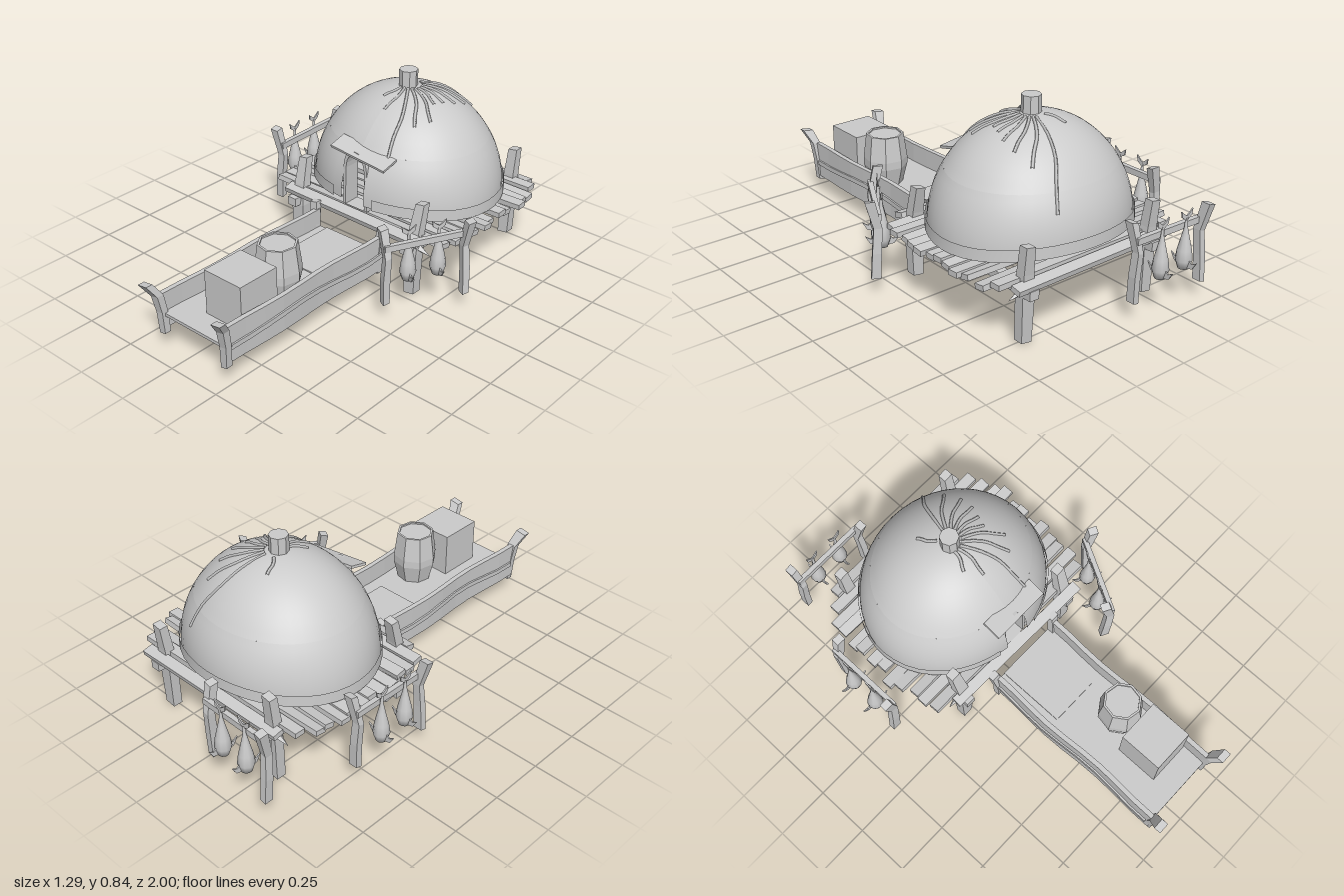
import * as THREE from 'three';

const flat = new THREE.MeshStandardMaterial({ color: 0xcccccc, flatShading: true, side: THREE.DoubleSide });
const smooth = new THREE.MeshStandardMaterial({ color: 0xcccccc, side: THREE.DoubleSide });

// Small seeded generator, returns -1..1
let seed = 7;
const rnd = () => { seed = (seed * 16807) % 2147483647; return (seed / 2147483647) * 2 - 1; };

function add(parent, name, geo, mat = flat, x = 0, y = 0, z = 0) {
  const m = new THREE.Mesh(geo, mat);
  m.name = name;
  m.position.set(x, y, z);
  parent.add(m);
  return m;
}

// Crooked upright timber: pts are [x, y, z, width, depth] from bottom to top
function timber(parent, name, pts) {
  const n = pts.length - 1;
  const g = new THREE.BoxGeometry(1, 1, 1, 1, n, 1);
  const p = g.attributes.position;
  for (let i = 0; i < p.count; i++) {
    const q = pts[Math.round((p.getY(i) + 0.5) * n)];
    p.setXYZ(i, q[0] + p.getX(i) * q[3], q[1] + p.getX(i) * 0.008, q[2] + p.getZ(i) * q[4]);
  }
  g.computeVertexNormals();
  return add(parent, name, g);
}

// Board running along z whose course wanders slightly
function wavyBoard(parent, name, x, y, z0, z1, w, h, ampX, ampY) {
  const g = new THREE.BoxGeometry(w, h, z1 - z0, 1, 1, 9);
  const p = g.attributes.position;
  for (let i = 0; i < p.count; i++) {
    const z = p.getZ(i);
    p.setX(i, p.getX(i) + ampX * Math.sin(z * 11));
    p.setY(i, p.getY(i) + ampY * Math.sin(z * 9 + 1));
  }
  g.computeVertexNormals();
  return add(parent, name, g, flat, x, y, (z0 + z1) / 2);
}

// Dome dimensions
const C = { x: 0.045, z: -0.42, y: 0.3, rx: 0.443, ry: 0.465, rz: 0.393 };

function domePoint(a, t, k = 1) {
  const s = Math.sin(t), c = Math.cos(t);
  const sag = 0.035 * Math.cos(a) ** 2 * s ** 8;
  return new THREE.Vector3(C.x + C.rx * k * s * Math.sin(a), C.y + C.ry * k * c + sag, C.z + C.rz * k * s * Math.cos(a));
}

// Patch of the dome between angles a (around, 0 = front) and t (down from the top)
function domePatch(a0, a1, t0, t1, na, nt, k = 1) {
  const g = new THREE.PlaneGeometry(1, 1, na, nt);
  const p = g.attributes.position;
  for (let i = 0; i < p.count; i++) {
    const v = domePoint(a0 + (p.getX(i) + 0.5) * (a1 - a0), t0 + (0.5 - p.getY(i)) * (t1 - t0), k);
    p.setXYZ(i, v.x, v.y, v.z);
  }
  g.computeVertexNormals();
  return g;
}

function buildDome() {
  const g = new THREE.Group();
  g.name = 'domeHut';
  const gap = 0.14, lintel = 0.99, TAU = Math.PI * 2;
  add(g, 'domeTop', domePatch(0, TAU, 0.001, lintel, 48, 12), smooth);
  add(g, 'domeWall', domePatch(gap, TAU - gap, lintel, Math.PI / 2, 46, 8), smooth);
  add(g, 'hem', domePatch(gap + 0.1, TAU - gap - 0.1, 1.47, 1.58, 40, 1, 1.02), smooth);

  // Seams running down from the smoke pipe: [angle, end]
  const seams = [[0.42, 1.0], [0.75, 0.65], [1.05, 0.6], [1.35, 0.4], [1.65, 0.42],
    [1.95, 0.5], [2.25, 0.6], [2.55, 0.75], [2.8, 1.2], [0.1, 0.5], [-0.25, 0.35], [-2.6, 0.35]];
  for (const [a, end] of seams) {
    const pts = [0, 0.25, 0.5, 0.75, 1].map(s =>
      domePoint(a + 0.06 * Math.sin(s * 5), 0.12 + s * (end - 0.12), 1.002));
    add(g, 'seam', new THREE.TubeGeometry(new THREE.CatmullRomCurve3(pts), 12, 0.007, 4), smooth);
  }

  add(g, 'smokePipe', new THREE.CylinderGeometry(0.042, 0.042, 0.1, 8), flat, 0.042, 0.788, -0.41);

  // Arched door lining
  const arch = (w, h) => {
    const s = new THREE.Shape();
    s.moveTo(-w, 0); s.lineTo(w, 0); s.lineTo(w * 0.95, h * 0.7);
    s.quadraticCurveTo(w * 0.85, h, 0, h);
    s.quadraticCurveTo(-w * 0.85, h, -w * 0.95, h * 0.7);
    s.closePath();
    return s;
  };
  const outer = arch(0.068, 0.27);
  outer.holes.push(arch(0.054, 0.255));
  add(g, 'doorLining', new THREE.ExtrudeGeometry(outer, { depth: 0.08, bevelEnabled: false, curveSegments: 6 }), flat, C.x, 0.298, -0.13);

  // Crooked awning over the door
  const awning = add(g, 'awning', new THREE.BoxGeometry(0.29, 0.012, 0.09), flat, 0.07, 0.562, -0.075);
  awning.rotation.set(0.25, 0, -0.12);
  return g;
}

function buildPlatform() {
  const g = new THREE.Group();
  g.name = 'platform';
  // Cross planks, longer towards the middle
  const n = 14;
  for (let i = 0; i < n; i++) {
    const z = -0.8 + i * 0.77 / (n - 1);
    const half = 0.39 + 0.12 * Math.sqrt(Math.max(0, 1 - ((z + 0.42) / 0.39) ** 2));
    const m = add(g, 'plank', new THREE.BoxGeometry((half + rnd() * 0.02) * 2, 0.024, 0.05),
      flat, 0.045 + rnd() * 0.012, 0.268 + rnd() * 0.01, z);
    m.rotation.set(rnd() * 0.35, rnd() * 0.025, rnd() * 0.02);
  }
  // Bearers and corner posts
  for (const [x, s] of [[-0.28, -1], [0.37, 1]]) {
    wavyBoard(g, 'bearer', x, 0.234, -0.83, 0, 0.045, 0.04, 0.008, 0.008);
    timber(g, 'frontPost', [[x - 0.003, 0, -0.055, 0.05, 0.045], [x, 0.2, -0.055, 0.065, 0.05],
      [x + s * 0.004, 0.3, -0.07, 0.055, 0.045], [x + s * 0.008, 0.42, -0.1, 0.045, 0.04]]);
    timber(g, 'backPost', [[x, 0, -0.757, 0.05, 0.045], [x, 0.2, -0.765, 0.06, 0.045],
      [x + s * 0.004, 0.3, -0.77, 0.05, 0.045], [x + s * 0.006, 0.42, -0.785, 0.045, 0.04]]);
    // Pegs wedged under the bearers
    for (const z of [-0.06, -0.77]) {
      const peg = add(g, 'peg', new THREE.ConeGeometry(0.03, 0.11, 4), flat, x + s * 0.035, 0.225, z);
      peg.rotation.z = -s * 1.9;
    }
  }
  return g;
}

function buildGangway() {
  const g = new THREE.Group();
  g.name = 'gangway';
  add(g, 'deck', new THREE.BoxGeometry(0.36, 0.014, 0.92), flat, 0.05, 0.16, 0.46);
  add(g, 'mat', new THREE.BoxGeometry(0.23, 0.01, 0.32), flat, 0.04, 0.168, 0.16);
  for (const [x, s] of [[-0.13, -1], [0.232, 1]]) {
    wavyBoard(g, 'sideBoard', x, 0.172, 0, 0.92, 0.022, 0.165, 0.006, 0.002);
    wavyBoard(g, 'rubbingStrip', x + s * 0.012, 0.17, 0, 0.9, 0.014, 0.022, 0.006, 0.012);
    timber(g, 'endPost', [[x - s * 0.005, 0.07, 0.915, 0.032, 0.03], [x, 0.17, 0.92, 0.036, 0.03],
      [x + s * 0.005, 0.25, 0.935, 0.04, 0.032], [x + s * 0.025, 0.31, 0.975, 0.05, 0.032]]);
    timber(g, 'innerPost', [[x, 0.075, 0.015, 0.03, 0.03], [x, 0.17, 0.015, 0.034, 0.03],
      [x + s * 0.012, 0.285, 0.0, 0.04, 0.03]]);
  }

  // Cargo
  add(g, 'crate', new THREE.BoxGeometry(0.2, 0.205, 0.2), flat, 0.11, 0.2675, 0.71);
  const profile = [[0, 0.167], [0.078, 0.167], [0.1, 0.255], [0.1, 0.29], [0.085, 0.405], [0.075, 0.405], [0.075, 0.398], [0, 0.398]]
    .map(([r, y]) => new THREE.Vector2(r, y));
  add(g, 'barrel', new THREE.LatheGeometry(profile, 8), flat, 0.12, 0, 0.51).rotation.y = 0.2;
  return g;
}

// Flat fin from a few outline points
function fin(parent, name, pts, x, y, z) {
  const s = new THREE.Shape(pts.map(([a, b]) => new THREE.Vector2(a, b)));
  return add(parent, name, new THREE.ExtrudeGeometry(s, { depth: 0.006, bevelEnabled: false }), flat, x, y, z);
}

function buildFish(x) {
  const g = new THREE.Group();
  g.name = 'hangingFish';
  const profile = [[0, 0.165], [0.024, 0.168], [0.036, 0.205], [0.03, 0.25], [0.017, 0.305], [0.007, 0.35], [0.006, 0.39]]
    .map(([r, y]) => new THREE.Vector2(r, y));
  add(g, 'fishBody', new THREE.LatheGeometry(profile, 10), smooth);
  fin(g, 'tailFin', [[0, 0.375], [0.028, 0.395], [0.032, 0.422], [0.012, 0.405], [0, 0.397],
    [-0.012, 0.405], [-0.032, 0.422], [-0.028, 0.395]], 0, 0, -0.003);
  for (const s of [-1, 1]) {
    const f = fin(g, 'sideFin', [[0.02, 0.172], [0.05, 0.18], [0.07, 0.213], [0.046, 0.2], [0.028, 0.215]], 0, 0, 0);
    f.rotation.y = s * Math.PI / 2;
  }
  g.position.set(x, 0, -0.022);
  return g;
}

// Drying rack along its own x axis
function buildRack(x, z, turn) {
  const g = new THREE.Group();
  g.name = 'fishRack';
  for (const s of [-1, 1]) {
    timber(g, 'rackPost', [[s * 0.172, 0.075, s * 0.018, 0.028, 0.04], [s * 0.174, 0.19, s * 0.012, 0.03, 0.038],
      [s * 0.17, 0.3, s * 0.004, 0.028, 0.036], [s * 0.18, 0.425, s * 0.035, 0.034, 0.042]]);
  }
  const bar = add(g, 'rackBar', new THREE.BoxGeometry(0.37, 0.028, 0.022), flat, 0, 0.35, 0);
  bar.rotation.z = 0.02;
  g.add(buildFish(-0.07), buildFish(0.065));
  g.position.set(x, 0, z);
  g.rotation.y = turn;
  return g;
}

export function createModel() {
  seed = 7;
  const model = new THREE.Group();
  model.name = 'stiltHut';
  model.add(buildDome(), buildPlatform(), buildGangway());
  model.add(buildRack(-0.245, -0.92, 0), buildRack(-0.545, -0.39, Math.PI / 2), buildRack(0.505, 0.035, 1.07));
  return model;
}
